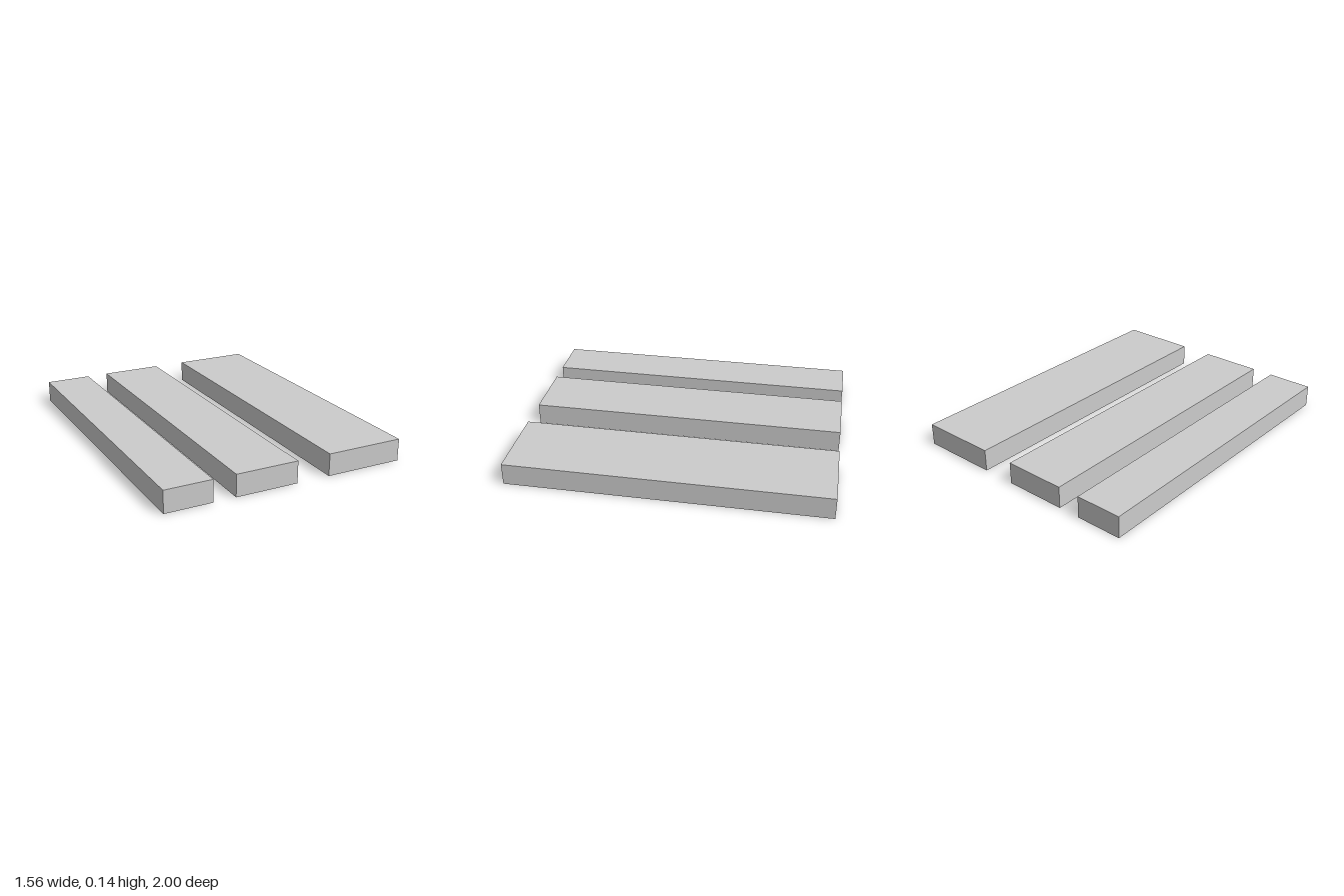
import * as THREE from 'three';

export function createModel() {
  const group = new THREE.Group();
  const material = new THREE.MeshStandardMaterial({ color: 0xcccccc, flatShading: true });
  const height = 0.14, length = 2;

  // Three parallel planks of increasing width: name, centre x, width
  const planks = [
    ['narrowPlank', -0.629, 0.298],
    ['middlePlank', -0.138, 0.4],
    ['widePlank', 0.528, 0.5],
  ];
  for (const [name, x, width] of planks) {
    const plank = new THREE.Mesh(new THREE.BoxGeometry(width, height, length), material);
    plank.name = name;
    plank.position.set(x, height / 2, 0);
    group.add(plank);
  }
  return group;
}
